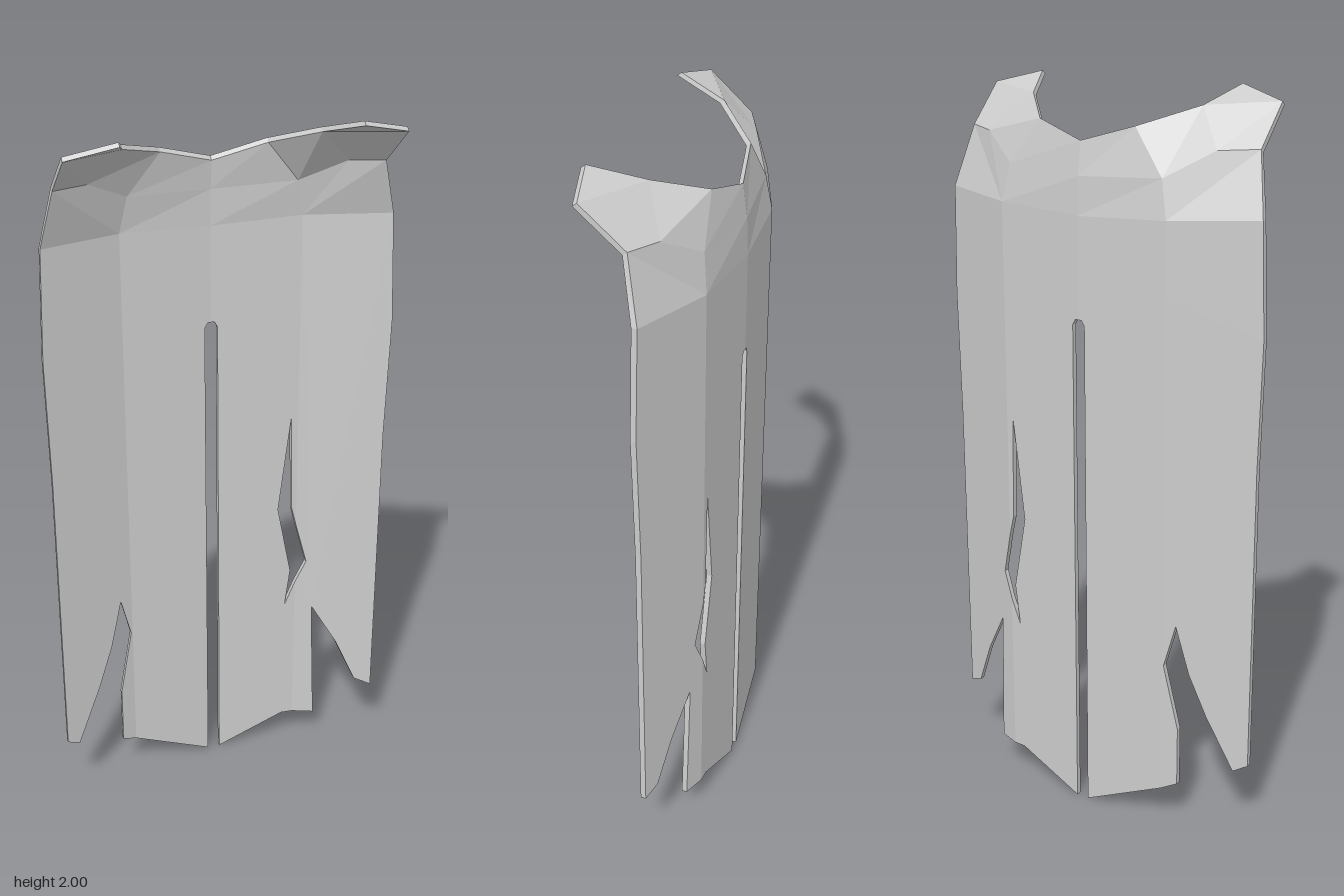
import * as THREE from 'three';

const T = 0.015; // cloth thickness

// Front surface depth: creased at the centre and at |x| = 0.25, hem hanging slightly forward
function depthAt(x, y) {
  const a = Math.abs(x);
  const fold = a < 0.25 ? -0.138 + 0.072 * a : -0.12 + (a - 0.25) * 0.383;
  return fold + 0.004 * (1.7 - y);
}

// Keep the part of a convex polygon on one side of the line x = c
function clip(poly, c, side) {
  const out = [];
  poly.forEach((p, i) => {
    const q = poly[(i + 1) % poly.length];
    const dp = (p.x - c) * side, dq = (q.x - c) * side;
    if (dp >= 0) out.push(p);
    if (dp * dq < 0) out.push(p.clone().lerp(q, dp / (dp - dq)));
  });
  return out;
}

function geometryFrom(points) {
  const geo = new THREE.BufferGeometry().setFromPoints(points);
  geo.computeVertexNormals();
  return geo;
}

// Long hanging cloth: flat cut-out, split along the creases, then folded
function drapeGeometry() {
  const toV2 = (list) => list.map(([x, y]) => new THREE.Vector2(x, y));
  const shape = new THREE.Shape(toV2([
    [0, 1.68], [-0.25, 1.69], [-0.473, 1.7], [-0.483, 1.4], [-0.476, 1.05], [-0.475, 0.2],
    // right-hand tear
    [-0.437, 0.18], [-0.365, 0.34], [-0.32, 0.46], [-0.285, 0.6], [-0.255, 0.48],
    [-0.293, 0.29], [-0.293, 0.12],
    // centre slit
    [-0.018, 0], [-0.018, 1.395], [-0.009, 1.41], [0.009, 1.41], [0.018, 1.395], [0.018, 0],
    // left-hand tear
    [0.215, 0.09], [0.31, 0.09], [0.298, 0.475], [0.37, 0.35], [0.425, 0.22],
    [0.472, 0.2], [0.474, 1.05], [0.483, 1.4], [0.473, 1.7], [0.25, 1.69],
  ]));
  shape.holes.push(new THREE.Path(toV2([
    [0.23, 1.1], [0.236, 0.81], [0.28, 0.63], [0.22, 0.485], [0.235, 0.6], [0.195, 0.81],
  ])));
  const pos = new THREE.ExtrudeGeometry(shape, { depth: T, bevelEnabled: false }).attributes.position;
  let polys = [];
  for (let i = 0; i < pos.count; i += 3) {
    polys.push([0, 1, 2].map((k) => new THREE.Vector3().fromBufferAttribute(pos, i + k)));
  }
  for (const c of [-0.25, 0, 0.25]) {
    polys = polys.flatMap((p) => {
      // a wall lying on the crease belongs to one side only
      if (p.every((q) => Math.abs(q.x - c) < 1e-6)) return [p];
      return [clip(p, c, 1), clip(p, c, -1)].filter((part) => part.length > 2);
    });
  }
  const points = [];
  for (const poly of polys) {
    const folded = poly.map((p) => new THREE.Vector3(p.x, p.y, p.z + depthAt(p.x, p.y) - T));
    for (let i = 1; i < folded.length - 1; i++) points.push(folded[0], folded[i], folded[i + 1]);
  }
  return geometryFrom(points);
}

// One shoulder: yoke faces rising into a flap that leans forward
function shoulderGeometry(side) {
  const wide = side < 0 ? 0.012 : 0;
  const v = {
    a0: [0, 1.68, depthAt(0, 1.68)], a1: [0.25, 1.69, depthAt(0.25, 1.69)], a2: [0.473, 1.7, depthAt(0.473, 1.7)],
    b0: [0, 1.78, -0.134], b1: [0.23, 1.79, -0.107], m: [0.345, 1.85, -0.045], e: [0.43 + wide, 1.855, 0],
    n0: [0, 1.858, -0.125], n1: [0.143, 1.9, -0.096], n2: [0.245 + wide * 2, 1.948, 0.018],
    n3: [0.307, 1.991, 0.148], f: [0.437, 1.958, 0.114],
  };
  const front = {}, back = {};
  for (const k in v) {
    const [x, y, z] = v[k];
    front[k] = new THREE.Vector3(x * side, y, z);
    back[k] = front[k].clone().add(y > 1.8 ? new THREE.Vector3(0, 0.009, -0.012) : new THREE.Vector3(0, 0, -T));
  }
  const points = [];
  const face = (...c) => {
    if (side < 0) c.reverse();
    for (let i = 1; i < c.length - 1; i++) points.push(c[0], c[i], c[i + 1]);
  };
  const faces = [
    'a0 a1 b1 b0', 'b0 b1 n1 n0', 'b1 m n2 n1', 'a1 a2 e', 'a1 e m', 'a1 m b1',
    'm e f', 'm f n2', 'n2 f n3',
  ];
  for (const row of faces) {
    const keys = row.split(' ');
    face(...keys.map((k) => front[k]));
    face(...keys.map((k) => back[k]).reverse());
  }
  // cloth edge along the side, flap and neckline
  const rim = ['a2', 'e', 'f', 'n3', 'n2', 'n1', 'n0'];
  for (let i = 0; i < rim.length - 1; i++) {
    const p = rim[i], q = rim[i + 1];
    face(back[p], back[q], front[q], front[p]);
  }
  return geometryFrom(points);
}

export function createModel() {
  const cloth = new THREE.MeshStandardMaterial({ color: 0xcccccc });
  cloth.name = 'greyCloth';
  const cape = new THREE.Group();
  cape.name = 'cape';
  const add = (name, geo) => {
    const mesh = new THREE.Mesh(geo, cloth);
    mesh.name = name;
    cape.add(mesh);
  };
  add('drape', drapeGeometry());
  add('leftShoulder', shoulderGeometry(1));
  add('rightShoulder', shoulderGeometry(-1));
  return cape;
}
